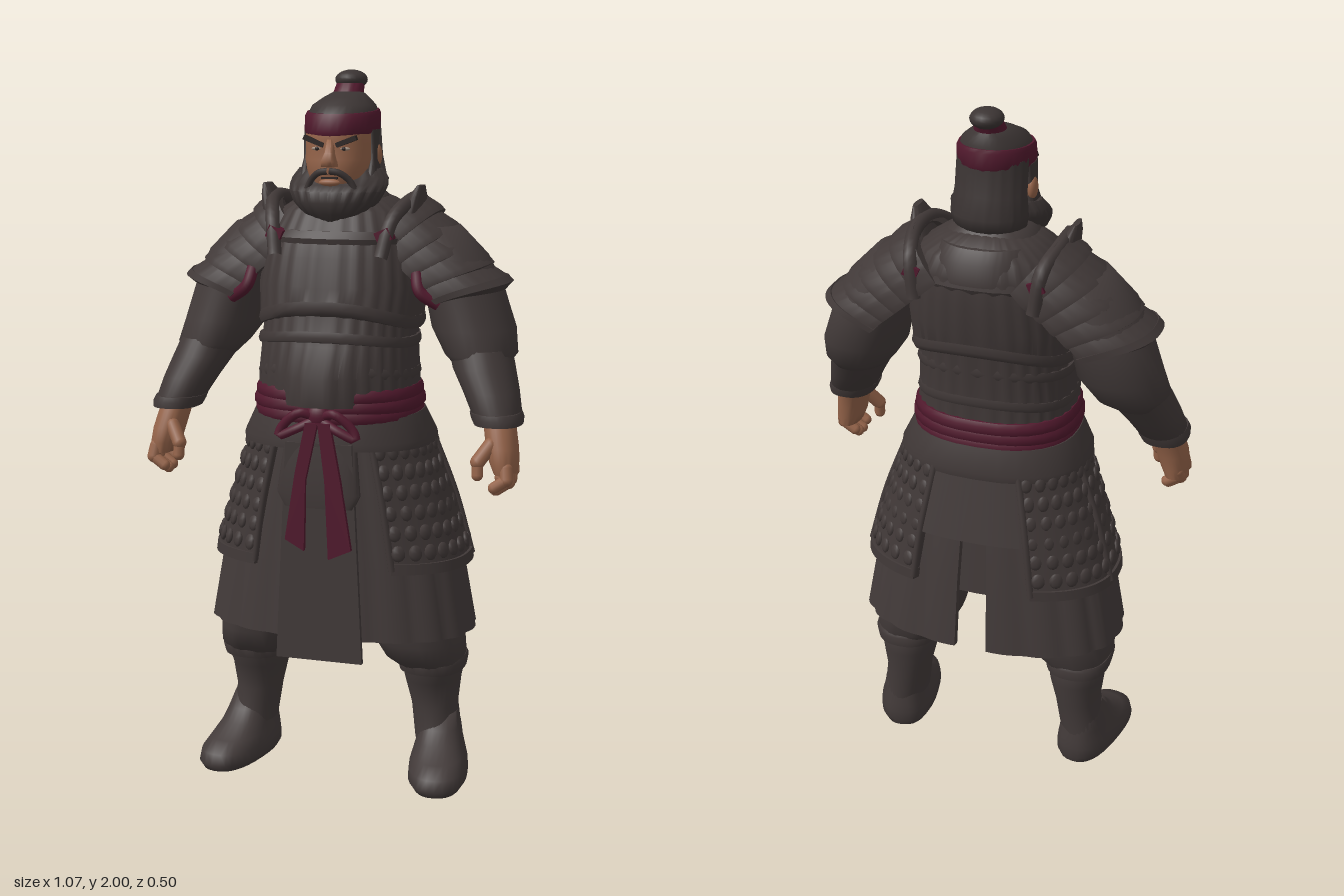
import * as THREE from 'three';
import { mergeGeometries, toCreasedNormals } from 'three/addons/utils/BufferGeometryUtils.js';

const mat = (name, color) => new THREE.MeshStandardMaterial({ name, color });
const V = (x, y, z) => new THREE.Vector3(x, y, z);

// Point on a rounded section; ring = [y, halfWidth, front z, back z, centre x]
function ringPoint([y, rx, f, b, cx = 0], a, p = 2.4, s = 1, inset = 0) {
  const bend = v => Math.sign(v) * Math.abs(v) ** (2 / p);
  return V(cx + (rx * s - inset) * bend(Math.sin(a)), y,
    (f + b) / 2 + ((f - b) / 2 * s - inset) * bend(Math.cos(a)));
}

// Surface through rings listed from bottom to top; t makes a partial shell from angle a0 to a1
function loft(rings, { n = 32, a0 = 0, a1 = Math.PI * 2, t = 0, p = 2.4, ribs = 0, amp = 0, mod = null, crease = 0.8 } = {}) {
  const count = t ? 2 * (n + 1) : n, pos = [], idx = [];
  for (const r of rings) {
    for (let i = 0; i < count; i++) {
      const k = i <= n ? i : 2 * n + 1 - i;
      const a = a0 + (a1 - a0) * k / n;
      const v = ringPoint(r, a, p, 1 + amp * Math.abs(Math.sin(a * ribs)), i > n ? t : 0);
      if (mod) mod(v, a);
      pos.push(v.x, v.y, v.z);
    }
  }
  for (let j = 0; j < rings.length - 1; j++) {
    for (let i = 0; i < count; i++) {
      const a = j * count + i, b = j * count + (i + 1) % count;
      idx.push(a, b, b + count, a, b + count, a + count);
    }
  }
  const top = (rings.length - 1) * count;
  for (let i = 0; i < count / 2 - 1; i++) {
    const q = [i, i + 1, count - 2 - i, count - 1 - i];
    idx.push(q[0], q[2], q[1], q[0], q[3], q[2]);
    idx.push(top + q[0], top + q[1], top + q[2], top + q[0], top + q[2], top + q[3]);
  }
  const g = new THREE.BufferGeometry();
  g.setAttribute('position', new THREE.Float32BufferAttribute(pos, 3));
  g.setIndex(idx);
  return toCreasedNormals(g, crease);
}

// Mirror across x, keeping faces outward
function mirror(geo) {
  const g = geo.index ? geo.toNonIndexed() : geo.clone();
  for (const key of ['position', 'normal']) {
    const a = g.attributes[key];
    for (let i = 0; i < a.count; i += 3) {
      const v = [0, 2, 1].map(k => new THREE.Vector3().fromBufferAttribute(a, i + k));
      v.forEach((q, k) => a.setXYZ(i + k, -q.x, q.y, q.z));
    }
  }
  return g;
}

const tube = (pts, r, n = 16) => new THREE.TubeGeometry(new THREE.CatmullRomCurve3(pts.map(q => V(...q))), n, r, 8);
const ball = (x, y, z, rx, ry, rz) => new THREE.SphereGeometry(1, 20, 14).scale(rx, ry, rz).translate(x, y, z);
const box = (x, y, z, w, h, d, rz = 0) => new THREE.BoxGeometry(w, h, d).rotateZ(rz).translate(x, y, z);
function limb(a, b, r) {
  const p = V(...a), q = V(...b), d = q.clone().sub(p), g = new THREE.CapsuleGeometry(r, d.length(), 4, 10);
  const m = p.add(q).multiplyScalar(0.5);
  return g.applyQuaternion(new THREE.Quaternion().setFromUnitVectors(V(0, 1, 0), d.normalize())).translate(m.x, m.y, m.z);
}

export function createModel() {
  const model = new THREE.Group();
  const cloth = mat('dark cloth', 0x423a39), armour = mat('dark armour', 0x403837), hair = mat('black hair', 0x3b3433);
  const sash = mat('maroon sash', 0x51192d), skin = mat('tan skin', 0x946349), ink = mat('brow black', 0x2b2322), white = mat('eye white', 0x9c8878);
  const add = (name, geo, m) => {
    const mesh = new THREE.Mesh(geo, m);
    mesh.name = name;
    model.add(mesh);
  };
  const pair = (name, geo, m) => { add(name + 'Left', geo, m); add(name + 'Right', mirror(geo), m); };

  // Feet, boots and trousers
  const foot = loft([[0, .072, .2, -.12], [.02, .085, .212, -.127], [.05, .083, .2, -.127], [.075, .075, .15, -.125],
    [.105, .066, .09, -.12], [.14, .06, .05, -.115], [.18, .05, .02, -.1]], { p: 2.5, crease: 1.2 });
  pair('boot', foot.rotateY(.18).translate(.295, 0, 0), cloth);
  pair('bootShaft', loft([[.1, .066, .055, -.12, .285], [.2, .066, .035, -.122, .27], [.28, .08, .06, -.14, .265],
    [.34, .092, .085, -.14, .267], [.36, .09, .085, -.13, .267]], { p: 2.1 }), cloth);
  pair('bootCuff', loft([[.315, .093, .085, -.143, .267], [.345, .099, .095, -.146, .267], [.355, .095, .09, -.14, .267]]), armour);
  pair('trouser', loft([[.33, .09, .08, -.13, .262], [.36, .11, .115, -.145, .25], [.41, .122, .135, -.15, .235],
    [.5, .128, .14, -.16, .215], [.75, .12, .14, -.16, .15]], { ribs: 5, amp: .03 }), cloth);

  // Pleated lower skirt, split in front and behind
  const skirtRings = [[.44, .38, .21, -.247], [.65, .342, .2, -.23], [.85, .285, .19, -.205], [1, .235, .18, -.18]];
  pair('lowerSkirt', loft(skirtRings, { n: 60, a0: .16, a1: 3.06, t: .018, ribs: 9, amp: .025 }), cloth);
  add('innerSkirt', loft([[.6, .29, .17, -.2], [1, .22, .17, -.17]]), cloth);
  const apron = new THREE.Shape([[-.125, .38], [.125, .38], [.095, 1], [-.095, 1]].map(q => new THREE.Vector2(...q)));
  add('frontApron', new THREE.ExtrudeGeometry(apron, { depth: .015, bevelEnabled: false }).translate(0, 0, .208), cloth);
  add('apronFlap', loft([[.82, .1, .235, .2], [.86, .12, .237, .2], [.99, .105, .225, .18]]), armour);

  // Scaled tassets over the hips
  const tasset = [[.645, .37, .21, -.252], [.82, .322, .21, -.235], [1.0, .255, .2, -.2]];
  pair('tasset', loft(tasset, { n: 40, a0: .5, a1: 2.72, t: .025 }), armour);
  pair('tassetHem', loft([[.635, .376, .215, -.256], [.665, .372, .214, -.255]], { n: 40, a0: .49, a1: 2.73, t: .025 }), armour);
  const scales = [];
  for (let row = 0; row < 6; row++) {
    const t = row / 5, y = .695 + .28 * t, k = (y - .645) / .355;
    const ring = tasset[0].map((v, i) => v + (tasset[2][i] - v) * k);
    for (let c = 0; c < 13; c++) {
      const a = .58 + c * 2.06 / 12, q = ringPoint(ring, a, 2.4, 1.012);
      scales.push(new THREE.SphereGeometry(1, 8, 6).scale(.021 - .004 * t, .023, .009).rotateX(-.22).rotateY(a).translate(q.x, q.y, q.z));
    }
  }
  pair('tassetScales', mergeGeometries(scales), armour);
  for (const a of [.5, 1.75, 2.72]) {
    pair('tassetEdge', tube(tasset.map(r => ringPoint(r, a).toArray()), .01), armour);
  }
  add('backTasset', loft([[.8, .33, .2, -.25], [1, .26, .18, -.2]], { n: 16, a0: 2.76, a1: 3.52, t: .03 }), armour);

  // Sash, waist flap, bow and ribbon tails
  add('waistFlap', loft([[.98, .272, .222, -.208], [1, .272, .222, -.21], [1.07, .238, .21, -.186]]), armour);
  for (const [y, r] of [[1.05, .228], [1.078, .232], [1.106, .226]]) {
    add('sash', loft([[y, r, .212, -.178], [y + .01, r + .007, .219, -.185], [y + .028, r + .007, .219, -.185], [y + .04, r, .212, -.178]]), sash);
  }
  add('sashKnot', ball(0, 1.075, .218, .036, .035, .024), sash);
  pair('bowLoop', tube([[.01, 1.075, .222], [.05, 1.085, .236], [.1, 1.045, .23], [.11, 1.02, .232], [.06, 1.04, .236], [.01, 1.065, .225]], .013, 24), sash);
  const ribbon = (name, pts) => add(name, new THREE.ExtrudeGeometry(new THREE.Shape(pts.map(q => new THREE.Vector2(...q))),
    { depth: .014, bevelEnabled: false }).translate(0, 0, .232), sash);
  ribbon('ribbonRight', [[-.09, .73], [-.035, .7], [-.03, .9], [.005, 1.06], [-.03, 1.06], [-.06, .92]]);
  ribbon('ribbonLeft', [[.035, .68], [.1, .71], [.07, .9], [.04, 1.06], [.005, 1.06], [.025, .9]]);

  // Torso armour with vertical lamellae
  const point = (v, a) => { if (v.y < 1.2 && v.z > 0) v.z += .03 * Math.cos(a) ** 16; };
  add('bellyArmour', loft([[1.1, .222, .205, -.17], [1.18, .218, .212, -.168], [1.26, .212, .2, -.172], [1.36, .208, .175, -.18]],
    { n: 120, ribs: 15, amp: .025, mod: point }), armour);
  for (const y of [1.175, 1.265]) {
    add('bellyBand', loft([[y, .222, .212, -.174], [y + .012, .226, .215, -.179], [y + .028, .222, .209, -.176]], { mod: (v, a) => { v.y += .012 * Math.cos(2 * a); } }), armour);
  }
  const chest = [[1.32, .222, .188, -.195], [1.42, .228, .175, -.205], [1.5, .218, .155, -.211], [1.57, .205, .128, -.211],
    [1.62, .18, .1, -.2], [1.65, .135, .075, -.17], [1.67, .09, .05, -.13]];
  const arch = (v, a) => { if (v.y < 1.37) v.y += .05 * Math.cos(a) ** 2; };
  add('chestArmour', loft(chest, { n: 120, ribs: 14, amp: .025, mod: arch }), armour);
  add('chestHem', loft([[1.3, .226, .193, -.2], [1.315, .232, .198, -.207], [1.335, .228, .193, -.204]], { mod: arch }), armour);
  add('chestRim', loft([[1.535, .213, .146, -.211], [1.55, .217, .149, -.218], [1.57, .208, .136, -.213]], { crease: .5 }), armour);
  add('backCollar', loft([[1.56, .15, .1, -.219], [1.62, .15, .1, -.213], [1.65, .13, .08, -.185]], { a0: 2.2, a1: 4.08, t: .03 }), armour);
  add('neckScarf', loft([[1.6, .15, .1, -.17], [1.66, .12, .08, -.14], [1.69, .09, .06, -.115]]), cloth);
  pair('shoulderStrap', tube([[.15, 1.5, .14], [.17, 1.6, .1], [.195, 1.645, .02], [.2, 1.65, -.09], [.18, 1.61, -.185], [.165, 1.5, -.205]], .02, 28), armour);
  pair('strapPeak', loft([[1.6, .028, .05, -.09, .2], [1.66, .02, .04, -.07, .213], [1.69, .008, .02, -.04, .223]]), armour);
  pair('shoulderTie', box(.155, 1.56, .114, .042, .034, .04, .4), sash);
  pair('backTie', box(.172, 1.575, -.19, .04, .035, .04, .4), sash);
  pair('armpitCord', tube([[.235, 1.46, .08], [.25, 1.41, .095], [.3, 1.375, .083]], .018), sash);

  // Sleeves, bracers and hands
  pair('sleeve', loft([[1.2, .07, .09, -.1, .405], [1.235, .1, .095, -.145, .39], [1.3, .116, .085, -.175, .366],
    [1.4, .11, .075, -.185, .335], [1.5, .11, .065, -.18, .29], [1.58, .08, .04, -.15, .24]],
  { p: 2.1, crease: 1.2, mod: (v, a) => { v.x += .006 * Math.sin(v.y * 75 + a * 2); } }), cloth);
  pair('bracer', loft([[1.075, .06, .15, -.005, .465], [1.09, .068, .148, -.02, .46], [1.14, .076, .132, -.05, .44],
    [1.2, .085, .11, -.09, .412], [1.25, .085, .09, -.12, .395]], { p: 2.2 }), armour);
  pair('bracerCuff', loft([[1.058, .065, .16, -.005, .47], [1.075, .07, .16, -.012, .466], [1.09, .069, .155, -.015, .46]]), armour);
  pair('palm', loft([[.93, .03, .168, .05, .498], [.96, .039, .172, .045, .494], [1.0, .043, .162, .04, .486], [1.05, .043, .142, .025, .475], [1.09, .04, .125, .01, .465]],
    { p: 2.2, crease: 1.2 }), skin);
  [.155, .126, .097, .07].forEach((z, i) => {
    const drop = [.012, 0, .004, .022][i];
    pair('fingerBase', limb([.508, .95, z], [.512, .908 + drop, z + .01], .018), skin);
    pair('fingerTip', limb([.512, .908 + drop, z + .01], [.478, .885 + drop, z + .012], .016), skin);
  });
  pair('thumb', limb([.462, 1.01, .14], [.432, .965, .165], .02), skin);
  pair('thumbTip', limb([.432, .965, .165], [.433, .93, .17], .016), skin);

  // Layered shoulder guards: overlapping half-pipe bands, tilted outward
  const tilt = g => g.rotateZ(.86).translate(.363, 1.312, 0);
  const sweep = (v, a) => { v.y += .1 * (1 - Math.sin(a)) * (1 - v.y / .34); };
  for (let i = 0; i < 5; i++) {
    const y = .068 * i, s = .004 * i;
    pair('shoulderBand', tilt(loft([[y, .156 + s, .1 - s, -.197 - s * .8], [y + .02, .158 + s, .102 - s, -.2 - s * .8], [y + .085, .147 + s, .092 - s, -.19 - s * .8]],
      { n: 36, a0: .03, a1: 3.11, t: .025, ribs: 14, amp: .015, mod: sweep })), armour);
  }
  pair('shoulderHem', tilt(loft([[-.006, .161, .106, -.204], [.018, .163, .108, -.206]], { n: 36, a0: .02, a1: 3.12, t: .03, mod: sweep })), armour);

  // Head and face
  add('face', loft([[1.64, .06, .07, -.06], [1.69, .075, .112, -.07], [1.73, .088, .117, -.08], [1.76, .094, .12, -.09], [1.79, .094, .111, -.09], [1.815, .094, .118, -.09], [1.87, .09, .1, -.09]],
    { crease: 1.2, p: 2.2 }), skin);
  add('nose', loft([[1.742, .024, .138, .09], [1.755, .023, .147, .09], [1.78, .014, .135, .09], [1.815, .01, .12, .09]], { n: 12, crease: 1.2 }), skin);
  pair('ear', ball(.098, 1.77, -.005, .014, .032, .022), skin);
  pair('eye', ball(.04, 1.79, .105, .015, .005, .005), white);
  pair('pupil', ball(.038, 1.79, .108, .006, .005, .004), ink);
  pair('eyebrow', box(.046, 1.81, .11, .06, .013, .016, .36), ink);
  add('lowerLip', ball(0, 1.7, .116, .03, .01, .012), skin);
  add('mouth', box(0, 1.712, .117, .045, .005, .008), ink);
  pair('moustache', tube([[.002, 1.731, .126], [.03, 1.726, .122], [.055, 1.705, .11], [.068, 1.68, .105]], .009), hair);
  add('beard', loft([[1.59, .03, .11, .03], [1.615, .085, .132, 0], [1.645, .115, .14, -.03], [1.675, .13, .135, -.045],
    [1.692, .134, .112, -.05], [1.71, .132, .085, -.05], [1.735, .115, .062, -.045]], { n: 80, p: 2, ribs: 11, amp: .05 }), hair);
  pair('sideburn', loft([[1.71, .018, .06, -.02, .096], [1.76, .01, .035, -.02, .095], [1.84, .008, .035, -.03, .095]]), hair);
  add('backHair', loft([[1.665, .085, .05, -.115], [1.685, .102, .05, -.14], [1.715, .108, .05, -.146], [1.77, .1, .05, -.128], [1.86, .098, .08, -.12]],
    { a0: 1.75, a1: 4.53, t: .05, p: 2.1, ribs: 10, amp: .02, crease: 1.2 }), hair);

  // Cap, headband and topknot
  add('cap', loft([[1.82, .096, .106, -.118], [1.88, .096, .1, -.121], [1.905, .086, .078, -.118], [1.925, .062, .035, -.112], [1.94, .04, -.01, -.105]], { p: 2.1, crease: 1.2 }), hair);
  const slope = v => { v.y -= .08 * v.z; };
  add('headband', loft([[1.832, .097, .115, -.122], [1.84, .102, .118, -.126], [1.88, .102, .111, -.127], [1.89, .097, .105, -.123]], { p: 2.1, mod: slope }), sash);
  add('topknotTie', loft([[1.92, .046, -.004, -.1], [1.935, .043, -.01, -.105], [1.963, .038, -.036, -.118]], { p: 2 }), sash);
  add('topknot', ball(0, 1.973, -.086, .045, .027, .047), hair);
  return model;
}
